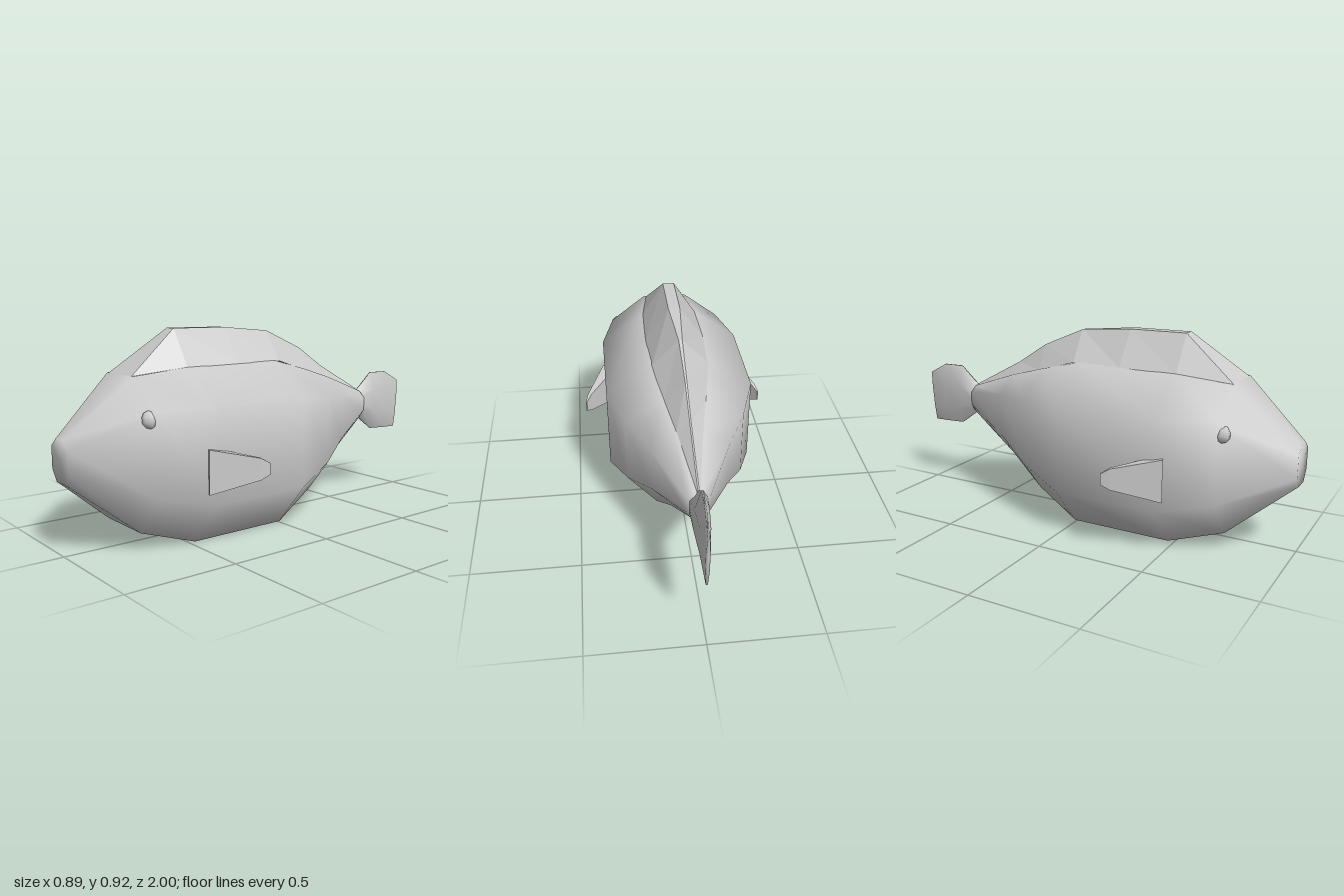
import * as THREE from 'three';

const material = (flat) => new THREE.MeshStandardMaterial({ color: 0xcccccc, flatShading: flat, side: THREE.DoubleSide });

// Skin closed rings (counter-clockwise seen from +z, running towards -z) and cap both ends
function loft(name, rings, flat = false) {
  const n = rings[0].length, last = rings.length - 1;
  const centre = (r) => [0, 1, 2].map((i) => r.reduce((s, p) => s + p[i], 0) / n);
  const points = [...rings.flat(), centre(rings[0]), centre(rings[last])];
  const index = [];
  const front = rings.length * n, back = front + 1;
  for (let k = 0; k < n; k++) {
    const k2 = (k + 1) % n;
    for (let i = 0; i < last; i++) {
      const a = i * n + k, b = i * n + k2, c = a + n, d = b + n;
      index.push(a, c, b, b, c, d);
    }
    index.push(front, k, k2, back, last * n + k2, last * n + k);
  }
  const geometry = new THREE.BufferGeometry();
  geometry.setAttribute('position', new THREE.Float32BufferAttribute(points.flat(), 3));
  geometry.setIndex(index);
  geometry.computeVertexNormals();
  const mesh = new THREE.Mesh(geometry, material(flat));
  mesh.name = name;
  return mesh;
}

// Eight-sided body section: z, bottom, top, half width
function bodyRing([z, y0, y1, w]) {
  const h = y1 - y0;
  const side = [[0.5, 0], [1, 0.265], [1, 0.8], [0.39, 1]];
  const right = side.map(([x, y]) => [x * w, y0 + y * h, z]);
  const left = right.map(([x, y]) => [-x, y, z]).reverse();
  return [...right, ...left];
}

// Thin diamond-like tail section: z of the top, z of the bottom, bottom, top, half width, sideways shift
function tailRing([zt, zb, y0, y1, w, x]) {
  const at = (dx, t) => [x + dx, y0 + t * (y1 - y0), zb + t * (zt - zb)];
  return [at(0.004, 0), at(w, 0.3), at(w, 0.7), at(0.004, 1), at(-0.004, 1), at(-w, 0.7), at(-w, 0.3), at(-0.004, 0)];
}

// Tapering side fin swept outwards and backwards
function sideFin(side) {
  const sections = [ // x, z, bottom, top, half thickness
    [0.315, 0.5, 0.25, 0.44, 0.035],
    [0.425, 0.31, 0.3, 0.393, 0.009],
    [0.443, 0.275, 0.32, 0.37, 0.003],
  ];
  const rings = sections.map(([x, z, y0, y1, t]) => {
    const inner = [side * (x - 0.9 * t), z - 0.4 * t];
    const outer = [side * (x + 0.9 * t), z + 0.4 * t];
    const [r, l] = side > 0 ? [outer, inner] : [inner, outer];
    return [[r, y0], [r, y1], [l, y1], [l, y0]].map(([p, y]) => [p[0], y, p[1]]);
  });
  return loft(side > 0 ? 'leftFin' : 'rightFin', rings, true);
}

export function createModel() {
  const model = new THREE.Group();
  model.name = 'fish';

  model.add(loft('body', [
    [1, 0.31, 0.49, 0.075],
    [0.72, 0.08, 0.73, 0.28],
    [0.47, 0, 0.755, 0.34],
    [-0.01, 0, 0.757, 0.34],
    [-0.23, 0.115, 0.7, 0.265],
    [-0.42, 0.25, 0.645, 0.17],
    [-0.69, 0.41, 0.55, 0.05],
    [-0.72, 0.43, 0.53, 0.03],
  ].map(bodyRing)));

  model.add(loft('tailFin', [
    [-0.68, -0.68, 0.42, 0.545, 0.04, 0],
    [-0.79, -0.8, 0.335, 0.64, 0.03, 0],
    [-0.9, -0.9, 0.33, 0.638, 0.022, 0.002],
    [-1, -0.98, 0.328, 0.585, 0.009, 0.004],
  ].map(tailRing)));

  // Faceted back fin: base z, base y, base half width, ridge z, ridge y, ridge half width
  model.add(loft('backFin', [
    [0.72, 0.728, 0.1, 0.719, 0.73, 0.095],
    [0.47, 0.753, 0.132, 0.47, 0.915, 0.027],
    [0.2, 0.755, 0.138, 0.2, 0.912, 0.027],
    [-0.04, 0.753, 0.128, -0.06, 0.888, 0.008],
    [-0.25, 0.69, 0.094, -0.27, 0.798, 0.004],
    [-0.42, 0.64, 0.06, -0.42, 0.7, 0.003],
    [-0.69, 0.545, 0.012, -0.69, 0.555, 0.003],
  ].map(([zb, yb, wb, zt, yt, wt]) => [[wb, yb, zb], [wt, yt, zt], [-wt, yt, zt], [-wb, yb, zb]]), true));

  // Paired fins and small bead eyes
  for (const side of [1, -1]) {
    model.add(sideFin(side));
    const eye = new THREE.Mesh(new THREE.SphereGeometry(0.034, 6, 5), material(false));
    eye.name = side > 0 ? 'leftEye' : 'rightEye';
    eye.position.set(side * 0.258, side > 0 ? 0.575 : 0.56, 0.735);
    eye.scale.set(0.8, 1.1, 1);
    eye.rotation.z = side * 0.35;
    model.add(eye);
  }
  return model;
}
